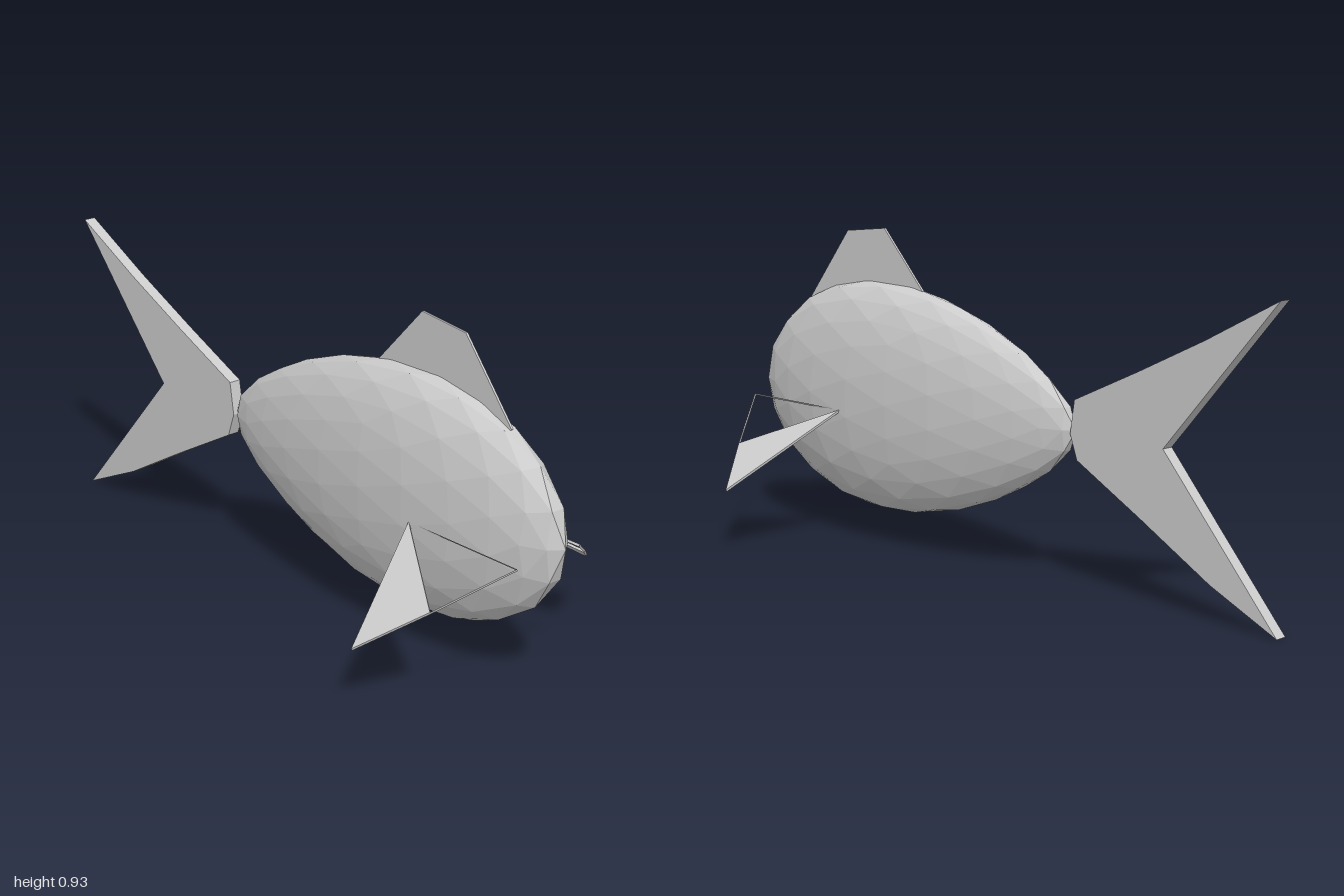
import * as THREE from 'three';

const mat = new THREE.MeshStandardMaterial({ color: 0xcccccc, flatShading: true });
const thinMat = new THREE.MeshStandardMaterial({ color: 0xcccccc, flatShading: true, side: THREE.DoubleSide });

function named(name, geometry, material = mat) {
  const mesh = new THREE.Mesh(geometry, material);
  mesh.name = name;
  return mesh;
}

// flat plate from an outline, centred on its thickness
function plate(points, depth) {
  const shape = new THREE.Shape(points.map(([x, y]) => new THREE.Vector2(x, y)));
  return new THREE.ExtrudeGeometry(shape, { depth, bevelEnabled: false }).translate(0, 0, -depth / 2);
}

// narrow open strip following a line of points
function ribbon(points, width) {
  const verts = [], index = [];
  points.forEach(([x, y], i) => {
    verts.push(x, y, -width / 2, x, y, width / 2);
    if (i) {
      const a = 2 * (i - 1);
      index.push(a, a + 1, a + 2, a + 1, a + 3, a + 2);
    }
  });
  const g = new THREE.BufferGeometry();
  g.setAttribute('position', new THREE.Float32BufferAttribute(verts, 3));
  g.setIndex(index);
  g.computeVertexNormals();
  return g;
}

// faceted ball stretched to a flattened egg, blunt at the head and tapering to the tail
function bodyGeometry() {
  const g = new THREE.IcosahedronGeometry(1, 3);
  const p = g.attributes.position;
  for (let i = 0; i < p.count; i++) {
    const u = p.getX(i);
    const swell = 0.975 + 0.22 * u - 0.11 * u * u;
    p.setXYZ(i, 0.353 + 0.643 * u, 0.436 + 0.341 * swell * p.getY(i), 0.121 * swell * p.getZ(i));
  }
  g.computeVertexNormals();
  return g;
}

export function createModel() {
  const fish = new THREE.Group();
  fish.name = 'fish';

  fish.add(named('body', bodyGeometry()));

  // forked tail
  fish.add(named('tailFin', plate([
    [-0.99, 0.86], [-0.615, 0.435], [-1, 0], [-0.78, 0.1], [-0.54, 0.235],
    [-0.31, 0.36], [-0.285, 0.43], [-0.3, 0.525], [-0.53, 0.63], [-0.75, 0.735],
  ], 0.036)));

  // back fin, its root sunk in the body
  fish.add(named('dorsalFin', plate([
    [0.31, 0.76], [0.36, 0.68], [0.75, 0.66], [0.8, 0.7], [0.63, 0.912], [0.47, 0.93],
  ], 0.007)));

  // side fins sloping down and out, each with a thin open rim ahead of the blade
  for (const side of [1, -1]) {
    const fin = new THREE.Group();
    fin.name = side > 0 ? 'frontPectoralFin' : 'backPectoralFin';
    fin.add(named('finBlade', plate([[0.55, 0], [0.81, 0.204], [0.685, 0.384]], 0.007)));
    fin.add(named('finRim', ribbon([[0.81, 0.204], [0.94, 0], [0.55, 0]], 0.007), thinMat));
    fin.rotation.x = side * 2.153;
    fin.position.set(0, 0.396, side * 0.113);
    fish.add(fin);
  }
  return fish;
}
